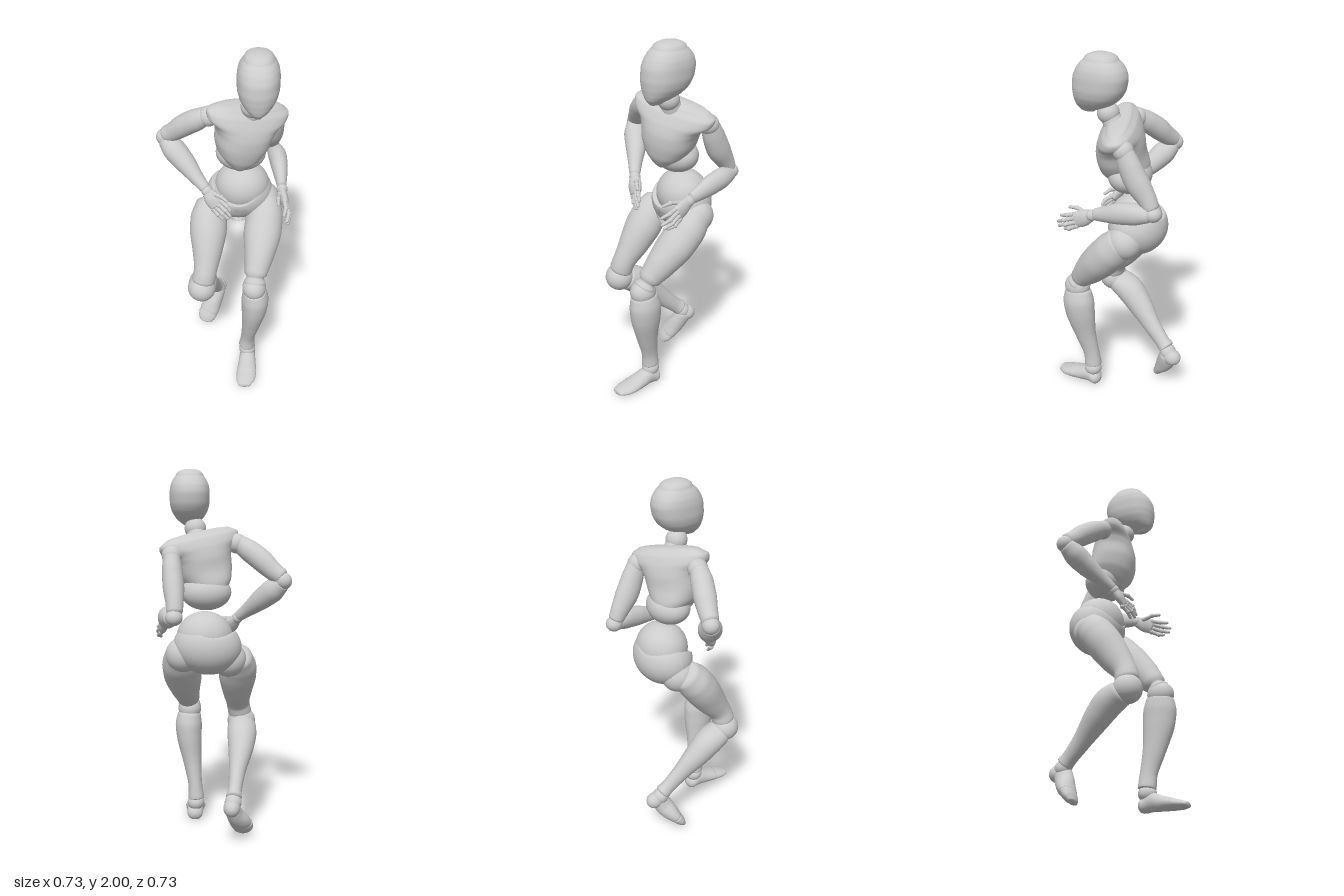
import * as THREE from 'three';

const material = new THREE.MeshStandardMaterial({ color: 0xcccccc });
const V = (x, y, z) => new THREE.Vector3(x, y, z);

function add(parent, name, geometry) {
  const mesh = new THREE.Mesh(geometry, material);
  mesh.name = name;
  parent.add(mesh);
  return mesh;
}

// Ellipsoid joint or mass
function ball(parent, name, [x, y, z], rx, ry = rx, rz = rx) {
  const mesh = add(parent, name, new THREE.SphereGeometry(1, 32, 24));
  mesh.position.set(x, y, z);
  mesh.scale.set(rx, ry, rz);
  return mesh;
}

// Smooth loft through sections [x, y, z, radiusU, radiusV] with domed ends.
// A fixed axis keeps all rings parallel; floor flattens the underside;
// a power below 1 makes the rings squarer.
function loft(parent, name, sections, { axis, cap = 0.5, sides = 28, steps = 5, floor, power = 1 } = {}) {
  const path = new THREE.CatmullRomCurve3(sections.map(s => V(s[0], s[1], s[2])));
  const radii = new THREE.CatmullRomCurve3(sections.map(s => V(s[3], s[4] ?? s[3], 0)));
  const rings = [];
  const total = (sections.length - 1) * steps;
  for (let i = 0; i <= total; i++) {
    const r = radii.getPoint(i / total);
    rings.push({ c: path.getPoint(i / total), t: axis ?? path.getTangent(i / total), ru: r.x, rv: r.y });
  }
  const dome = (end, sign) => [0, 1, 2, 3, 4].map(k => {
    const a = k / 5 * Math.PI / 2, s = Math.max(Math.sin(a), 0.005);
    const h = Math.min(end.ru, end.rv) * cap * Math.cos(a) * sign;
    return { c: end.c.clone().addScaledVector(end.t, h), t: end.t, ru: end.ru * s, rv: end.rv * s };
  });
  const all = [...dome(rings[0], -1), ...rings, ...dome(rings[total], 1).reverse()];
  const bend = w => Math.sign(w) * Math.abs(w) ** power;
  const pos = [], index = [];
  all.forEach(({ c, t, ru, rv }, i) => {
    const u = V(1, 0, 0).addScaledVector(t, -t.x).normalize();
    const v = t.clone().cross(u);
    for (let j = 0; j < sides; j++) {
      const a = j / sides * Math.PI * 2;
      const p = c.clone().addScaledVector(u, ru * bend(Math.cos(a))).addScaledVector(v, rv * bend(Math.sin(a)));
      if (floor !== undefined) p.y = Math.max(p.y, floor);
      pos.push(p.x, p.y, p.z);
      if (i === 0) continue;
      const n = (j + 1) % sides, a0 = (i - 1) * sides, b0 = i * sides;
      index.push(a0 + j, a0 + n, b0 + n, a0 + j, b0 + n, b0 + j);
    }
  });
  const g = new THREE.BufferGeometry();
  g.setAttribute('position', new THREE.Float32BufferAttribute(pos, 3));
  g.setIndex(index);
  g.computeVertexNormals();
  return add(parent, name, g);
}

// Palm plus jointed fingers, each given as [knuckle, middle, tip]
function hand(parent, name, palm, fingers) {
  const g = new THREE.Group();
  g.name = name;
  parent.add(g);
  loft(g, 'palm', palm, { sides: 16 });
  fingers.forEach((f, n) => {
    for (let i = 0; i < 2; i++) {
      const r = 0.0125 - i * 0.002;
      loft(g, n ? 'finger' : 'thumb', [[...f[i], r], [...f[i + 1], r - 0.002]], { sides: 10, steps: 2, cap: 1 });
      ball(g, 'fingerJoint', f[i], 0.0145 - i * 0.002);
    }
  });
}

export function createModel() {
  const model = new THREE.Group();
  model.name = 'mannequin';
  const up = V(0, 1, 0);

  // Head: [y, front z, back z, half width]
  const head = [[1.695, .155, .07, .022], [1.715, .17, .02, .05], [1.74, .178, -.035, .075], [1.775, .184, -.075, .096],
    [1.82, .187, -.1, .107], [1.87, .182, -.109, .108], [1.915, .164, -.1, .102], [1.945, .142, -.08, .089], [1.965, .119, -.058, .075]];
  loft(model, 'head', head.map(([y, f, b, w]) => [.172, y, (f + b) / 2, w, (f - b) / 2]), { axis: up, cap: .47, sides: 40, power: .88 });
  ball(model, 'neckBall', [.143, 1.685, .01], .058);
  loft(model, 'neck', [[.13, 1.6, -.03, .065], [.14, 1.66, -.005, .05]]);

  // Chest, leaning, turned and dropped towards its left shoulder, flaring over both arms;
  // it narrows to a keel that wraps the waist ball at front and back
  const chest = new THREE.Group();
  chest.name = 'chest';
  chest.position.set(.1, 1.495, -.045);
  chest.rotation.set(.16, .36, -.19, 'YXZ');
  model.add(chest);
  loft(chest, 'ribcage', [[0, -.185, .012, .036, .08], [0, -.16, 0, .072, .112], [0, -.11, .002, .118, .13], [0, -.04, .008, .147, .13],
    [0, .02, .003, .157, .129], [0, .06, -.003, .178, .121], [0, .1, -.01, .222, .106], [0, .135, -.016, .228, .087], [0, .16, -.02, .19, .06]],
  { axis: up, cap: .3, sides: 40, power: .86 });

  // Waist and pelvis
  ball(model, 'waistBall', [.09, 1.35, -.09], .135, .096, .11);
  ball(model, 'abdomen', [.1, 1.115, -.13], .15, .138, .138);
  const pelvisGeometry = new THREE.SphereGeometry(1, 48, 48);
  const p = pelvisGeometry.attributes.position;
  // Scooped rim: lowest at the front, high over the hips
  for (let i = 0; i < p.count; i++) p.setY(i, Math.min(p.getY(i), .2 + .8 * p.getX(i) ** 2 - .15 * p.getZ(i)));
  pelvisGeometry.computeVertexNormals();
  const pelvis = add(model, 'pelvis', pelvisGeometry);
  pelvis.position.set(.085, 1.065, -.137);
  pelvis.scale.set(.183, .152, .152);
  pelvis.rotation.set(.1, 0, .12);
  loft(model, 'crotch', [[.088, 1.04, -.11, .13, .125], [.086, .99, -.1, .11, .112], [.083, .95, -.09, .07, .085], [.082, .928, -.085, .035, .05]], { axis: up, cap: .7 });

  // Left leg, bearing the weight
  ball(model, 'leftHip', [.215, 1.02, -.13], .095);
  loft(model, 'leftThigh', [[.235, 1.02, -.115, .08, .085], [.228, .96, -.06, .102, .1], [.218, .89, .005, .105, .1], [.2, .79, .1, .083, .085], [.182, .71, .172, .062, .06], [.178, .675, .195, .062, .06]]);
  ball(model, 'leftKnee', [.175, .645, .205], .066, .068, .074);
  loft(model, 'leftShin', [[.178, .615, .2, .066, .078], [.182, .55, .195, .076, .092], [.178, .47, .188, .071, .088], [.163, .34, .168, .053, .065], [.147, .2, .137, .04, .048], [.142, .13, .13, .046, .05]], { cap: .3 });
  ball(model, 'leftAnkle', [.145, .1, .13], .048, .045, .05);
  loft(model, 'leftFoot', [[.15, .04, .11, .044, .04], [.147, .055, .15, .046, .052], [.145, .042, .21, .052, .043], [.142, .032, .265, .058, .034]], { axis: V(0, 0, 1), cap: .8, floor: .006 });
  loft(model, 'leftToes', [[.142, .03, .275, .058, .031], [.137, .023, .32, .053, .024], [.13, .018, .357, .036, .015]], { axis: V(0, 0, 1), floor: .003 });

  // Right leg, trailing behind
  ball(model, 'rightHip', [-.03, .99, -.12], .095);
  loft(model, 'rightThigh', [[-.085, 1.0, -.1, .075, .085], [-.085, .95, -.055, .1, .098], [-.086, .89, -.01, .104, .1], [-.09, .78, .065, .083, .086], [-.1, .69, .125, .065, .065], [-.11, .64, .14, .066, .064]]);
  ball(model, 'rightKnee', [-.12, .585, .145], .079, .078, .08);
  loft(model, 'rightShin', [[-.12, .565, .1, .08, .07], [-.115, .53, .035, .082, .08], [-.103, .465, -.035, .07, .074], [-.075, .36, -.14, .045, .053], [-.057, .285, -.22, .038, .044], [-.05, .26, -.25, .043, .047]], { cap: .35 });
  ball(model, 'rightAnkle', [-.045, .235, -.265], .046);
  ball(model, 'rightHeel', [-.035, .212, -.297], .045, .047, .052);
  loft(model, 'rightFoot', [[-.037, .21, -.27, .042, .052], [-.056, .16, -.247, .046, .053], [-.082, .115, -.222, .056, .046], [-.097, .088, -.203, .058, .038]], { cap: .6 });
  loft(model, 'rightToes', [[-.1, .083, -.2, .058, .036], [-.11, .055, -.18, .053, .029], [-.117, .035, -.165, .037, .018]]);

  // Left arm, elbow drawn back
  ball(model, 'leftShoulder', [.27, 1.55, -.155], .054);
  loft(model, 'leftUpperArm', [[.272, 1.54, -.165, .046, .05], [.27, 1.48, -.19, .053, .062], [.265, 1.4, -.23, .056, .066], [.26, 1.32, -.285, .047, .052], [.26, 1.275, -.312, .042, .042]]);
  ball(model, 'leftElbow', [.264, 1.245, -.325], .045, .042, .045);
  loft(model, 'leftForearm', [[.278, 1.24, -.3, .043, .042], [.294, 1.235, -.23, .05, .058], [.303, 1.222, -.15, .046, .057], [.31, 1.2, -.06, .033, .041], [.312, 1.19, -.015, .026, .033]]);
  ball(model, 'leftWrist', [.314, 1.18, .01], .03);
  hand(model, 'leftHand', [[.314, 1.175, .02, .024, .034], [.322, 1.155, .06, .025, .045], [.332, 1.14, .095, .018, .042]], [
    [[.3, 1.18, .06], [.292, 1.19, .115], [.292, 1.185, .16]],
    [[.325, 1.17, .1], [.332, 1.155, .15], [.322, 1.14, .195]],
    [[.335, 1.15, .105], [.348, 1.13, .16], [.338, 1.11, .205]],
    [[.338, 1.128, .1], [.353, 1.108, .15], [.344, 1.09, .195]],
    [[.336, 1.108, .09], [.348, 1.088, .13], [.335, 1.075, .165]],
  ]);

  // Right arm, hand resting in front of the hip
  ball(model, 'rightShoulder', [-.08, 1.605, -.025], .054);
  loft(model, 'rightUpperArm', [[-.1, 1.6, -.03, .05], [-.145, 1.567, -.05, .059], [-.205, 1.52, -.08, .06], [-.27, 1.46, -.11, .051], [-.305, 1.435, -.125, .046]]);
  ball(model, 'rightElbow', [-.32, 1.412, -.132], .046);
  loft(model, 'rightForearm', [[-.308, 1.395, -.12, .048], [-.265, 1.355, -.09, .063], [-.21, 1.305, -.05, .057], [-.14, 1.24, .01, .038], [-.1, 1.205, .043, .03]]);
  ball(model, 'rightWrist', [-.088, 1.192, .052], .031);
  hand(model, 'rightHand', [[-.08, 1.185, .058, .032, .026], [-.058, 1.155, .075, .043, .026], [-.035, 1.125, .088, .04, .019]], [
    [[-.045, 1.185, .075], [-.01, 1.185, .1], [.018, 1.17, .115]],
    [[-.01, 1.15, .09], [.02, 1.133, .112], [.038, 1.112, .12]],
    [[-.02, 1.128, .095], [.013, 1.108, .118], [.037, 1.083, .128]],
    [[-.035, 1.11, .095], [-.002, 1.088, .118], [.025, 1.063, .125]],
    [[-.055, 1.1, .09], [-.028, 1.075, .108], [-.003, 1.05, .112]],
  ]);

  return model;
}
